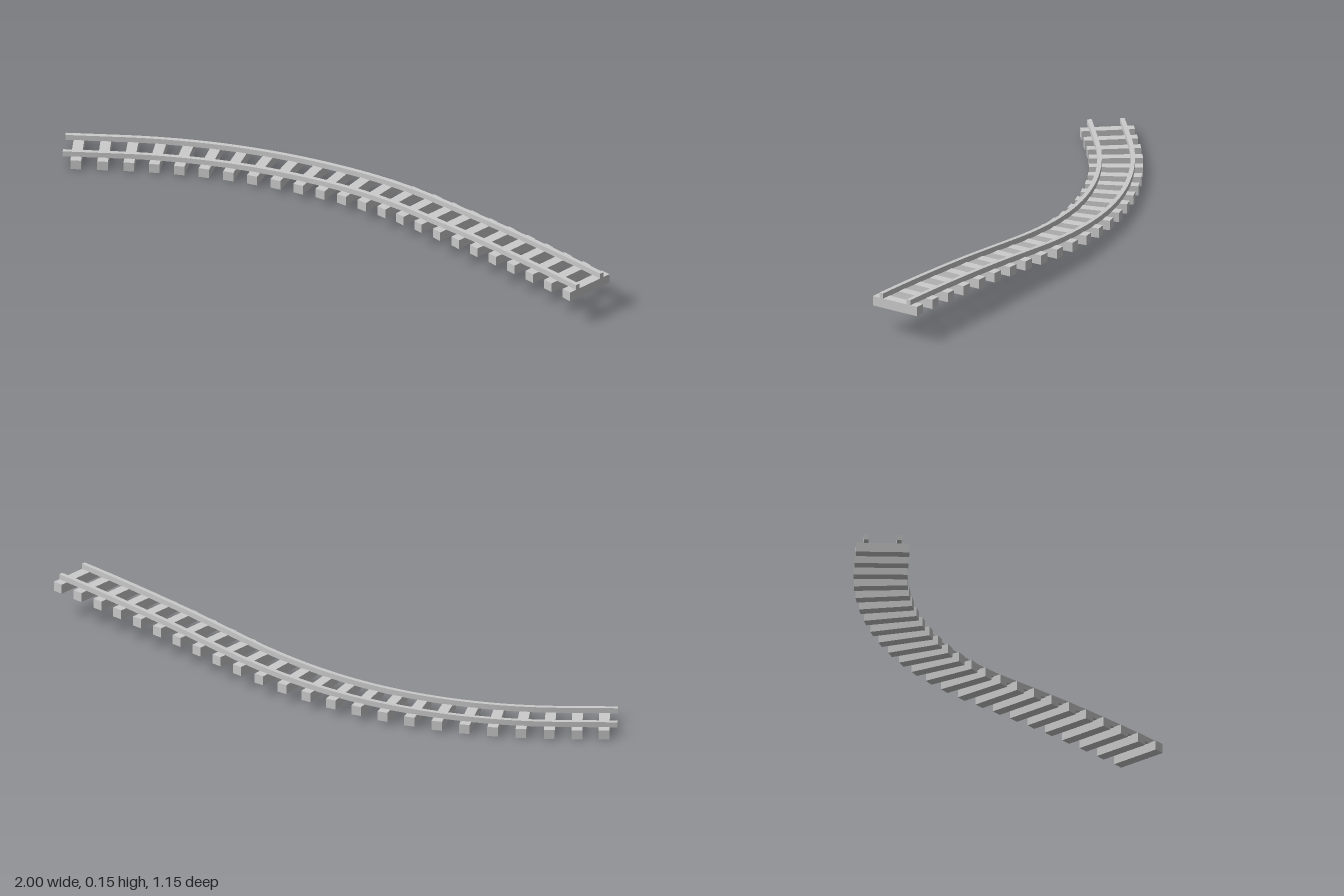
import * as THREE from 'three';

const LEAD = 0.2, RADIUS = 1.68, BEND = 0.733; // straight lead-in, then arc, then straight run-out
const LENGTH = 2.255, SLEEPERS = 24, GAUGE = 0.117;
const ARC = RADIUS * BEND;
const rise = new THREE.SplineCurve(
  [0, 0.003, 0.017, 0.046, 0.079, 0.096].map((h, i) => new THREE.Vector2(i * LENGTH / 5, h)));

// Centre line of the track at distance s: position and heading
function track(s) {
  const a = THREE.MathUtils.clamp((s - LEAD) / RADIUS, 0, BEND);
  const run = Math.max(0, s - LEAD - ARC);
  const pos = new THREE.Vector3(
    -1 + Math.min(s, LEAD) + RADIUS * Math.sin(a) + run * Math.cos(a),
    rise.getPoint(THREE.MathUtils.clamp(s / LENGTH, 0, 1)).y,
    -0.478 + RADIUS * (1 - Math.cos(a)) + run * Math.sin(a));
  return { pos, forward: new THREE.Vector3(Math.cos(a), 0, Math.sin(a)),
    side: new THREE.Vector3(Math.sin(a), 0, -Math.cos(a)) };
}

// A long bar whose vertices are bent along the track
function railGeometry(offset) {
  const geo = new THREE.BoxGeometry(0.016, 0.02, LENGTH, 1, 1, 64);
  geo.translate(offset, 0.044, LENGTH / 2);
  const p = geo.attributes.position;
  for (let i = 0; i < p.count; i++) {
    const { pos, side } = track(p.getZ(i));
    pos.addScaledVector(side, p.getX(i));
    p.setXYZ(i, pos.x, pos.y + p.getY(i), pos.z);
  }
  geo.computeVertexNormals();
  return geo;
}

export function createModel() {
  const group = new THREE.Group();
  group.name = 'curvedTrack';
  const material = new THREE.MeshStandardMaterial({ color: 0xcccccc });

  // Two rails
  for (const [name, sign] of [['outerRail', 1], ['innerRail', -1]]) {
    const rail = new THREE.Mesh(railGeometry(sign * GAUGE / 2), material);
    rail.name = name;
    group.add(rail);
  }

  // Cross sleepers, square to the track
  const sleepers = new THREE.Group();
  sleepers.name = 'sleepers';
  const block = new THREE.BoxGeometry(0.19, 0.035, 0.038).translate(0, 0.0175, 0);
  const up = new THREE.Vector3(0, 1, 0);
  for (let i = 0; i < SLEEPERS; i++) {
    const s = THREE.MathUtils.lerp(0.048, LENGTH - 0.019, i / (SLEEPERS - 1));
    const { pos, forward, side } = track(s);
    const sleeper = new THREE.Mesh(block, material);
    sleeper.name = 'sleeper';
    sleeper.quaternion.setFromRotationMatrix(new THREE.Matrix4().makeBasis(side, up, forward));
    sleeper.position.copy(pos);
    sleepers.add(sleeper);
  }
  group.add(sleepers);
  return group;
}
